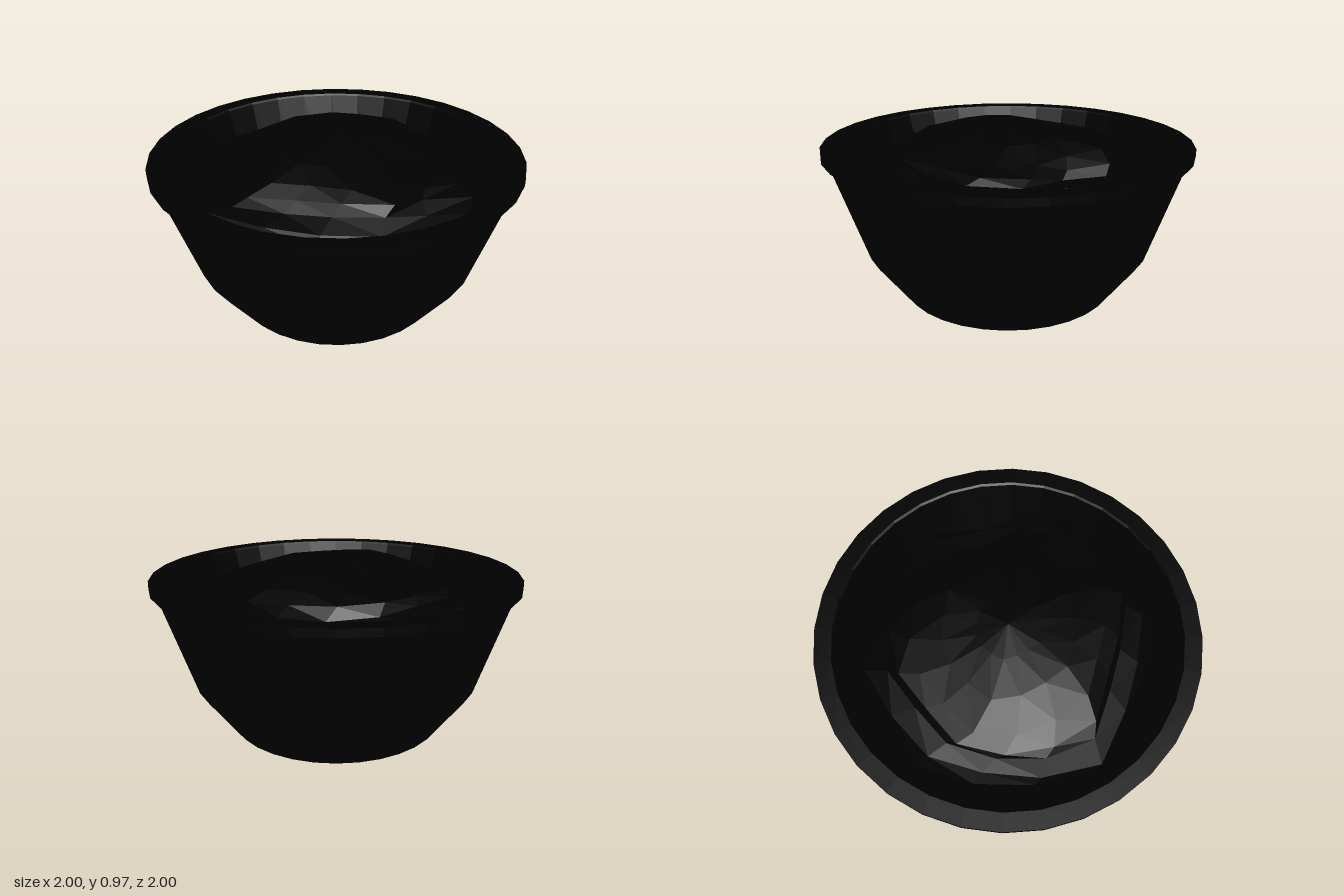
import * as THREE from 'three';

const SIDES = 32;
const HEAP_SIDES = 16;

// Lathe from [radius, height] pairs, listed outside-bottom upwards
function lathe(profile, sides) {
  return new THREE.LatheGeometry(profile.map(([r, y]) => new THREE.Vector2(r, y)), sides);
}

export function createModel() {
  const group = new THREE.Group();
  const material = new THREE.MeshStandardMaterial({ color: 0x000000, flatShading: true });
  const add = (name, geometry) => {
    const mesh = new THREE.Mesh(geometry, material);
    mesh.name = name;
    group.add(mesh);
  };

  // Hollow bowl: foot, angled wall, flat lip and inner wall
  add('bowl', lathe([
    [0, 0], [0.59, 0], [0.785, 0.26], [0.97, 0.81], [1, 0.81], [1, 0.85],
    [0.91, 0.85], [0.9, 0.84], [0.72, 0.27], [0.53, 0.05], [0, 0.05],
  ], SIDES));

  // Lumpy filling: uneven outline, swirled ledges and a low peak
  const outline = [0.73, 0.74, 0.8, 0.72, 0.78, 0.8, 0.7, 0.78,
    0.73, 0.76, 0.77, 0.75, 0.8, 0.77, 0.77, 0.81];
  // Rings as [share of outline, height, bump height, twist]
  const rings = [
    [0.86, 0.3, 0, 0], [0.99, 0.56, 0.01, 0], [1, 0.7, 0.02, 0], [0.96, 0.75, 0.02, 0.05],
    [0.83, 0.775, 0.015, 0.12], [0.79, 0.82, 0.015, 0.2], [0.67, 0.855, 0.015, 0.3],
    [0.46, 0.905, 0.012, 0.4], [0.22, 0.94, 0.006, 0.5], [0, 0.97, 0, 0],
  ];
  const heap = lathe(rings.map(([r, y]) => [r, y]), HEAP_SIDES);
  const pos = heap.attributes.position;
  for (let i = 0; i <= HEAP_SIDES; i++) {
    const base = (i % HEAP_SIDES) / HEAP_SIDES * Math.PI * 2;
    rings.forEach(([share, height, bump, twist], j) => {
      const swirl = 1 + (j > 2 ? 0.04 * Math.sin(3 * base + j * 0.9) : 0);
      const radius = outline[i % HEAP_SIDES] * share * swirl;
      const angle = base + twist;
      pos.setXYZ(i * rings.length + j, radius * Math.sin(angle),
        height + bump * Math.sin(2 * base + j * 1.3), radius * Math.cos(angle));
    });
  }
  heap.computeVertexNormals();
  add('filling', heap);

  return group;
}
